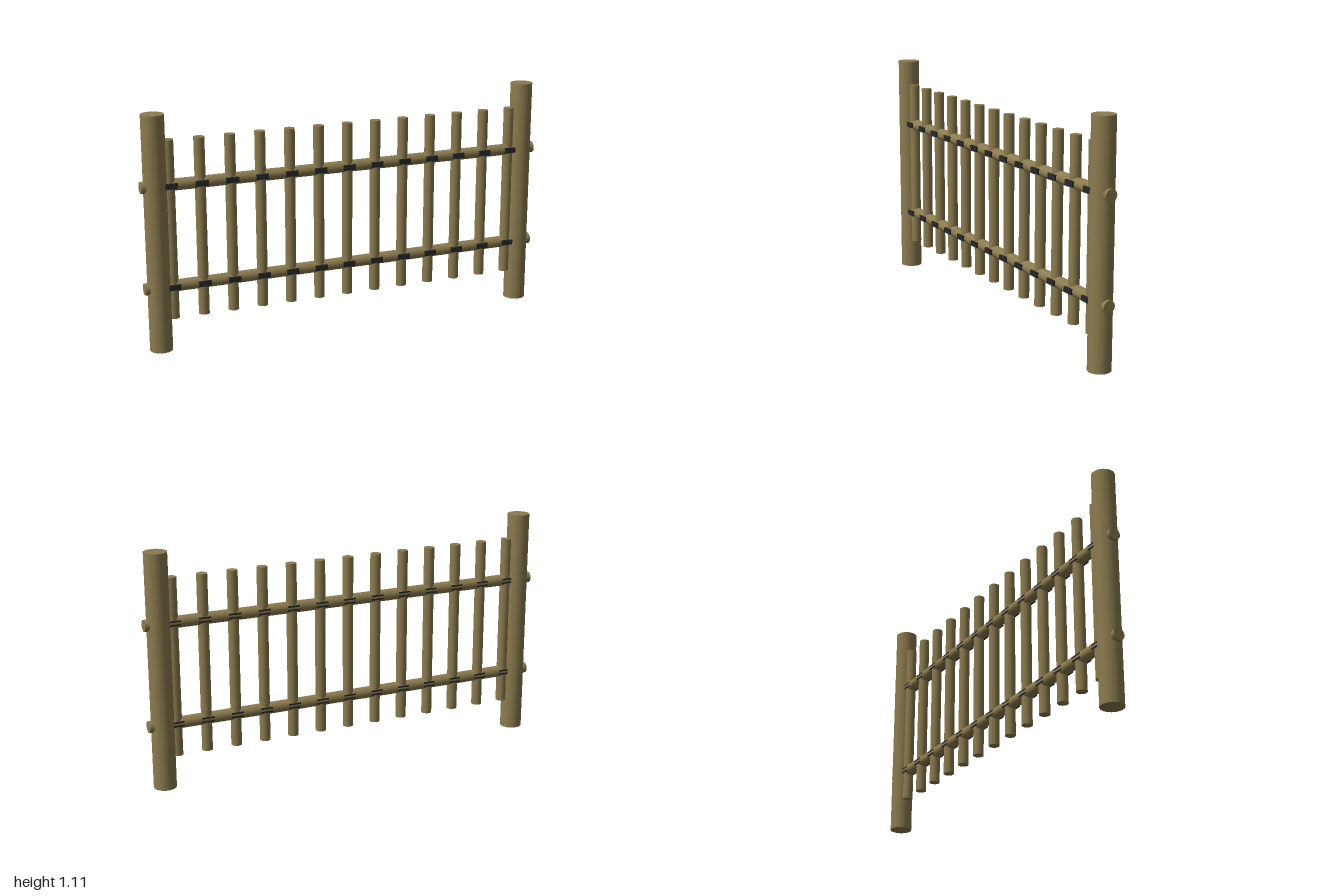
import * as THREE from 'three';

export function createModel() {
  const group = new THREE.Group();
  const wood = new THREE.MeshStandardMaterial({ color: 0x8b7b4e });
  wood.name = 'wood';
  const binding = new THREE.MeshStandardMaterial({ color: 0x26272a });
  binding.name = 'darkBinding';

  function add(name, geometry, material, x, y, z = 0) {
    const mesh = new THREE.Mesh(geometry, material);
    mesh.name = name;
    mesh.position.set(x, y, z);
    group.add(mesh);
    return mesh;
  }

  const railHeights = [0.302, 0.78];

  // Thick end posts
  const postGeometry = new THREE.CylinderGeometry(0.053, 0.053, 1.11, 32);
  add('leftPost', postGeometry, wood, 0.932, 0.555);
  add('rightPost', postGeometry, wood, -0.932, 0.555);

  // Horizontal rails, running through both posts
  const railGeometry = new THREE.CylinderGeometry(0.0275, 0.0275, 2, 32).rotateZ(Math.PI / 2);
  for (const y of railHeights) add('rail', railGeometry, wood, 0, y);

  // Upright pickets, tied to each rail with a dark band
  const picketGeometry = new THREE.CylinderGeometry(0.025, 0.025, 0.842, 24);
  const tieGeometry = new THREE.BoxGeometry(0.06, 0.025, 0.062);
  for (let i = -6; i <= 6; i++) {
    const x = i * 0.1443;
    add('picket', picketGeometry, wood, x, 0.569);
    for (const y of railHeights) add('tie', tieGeometry, binding, x, y, 0.004);
  }
  return group;
}
